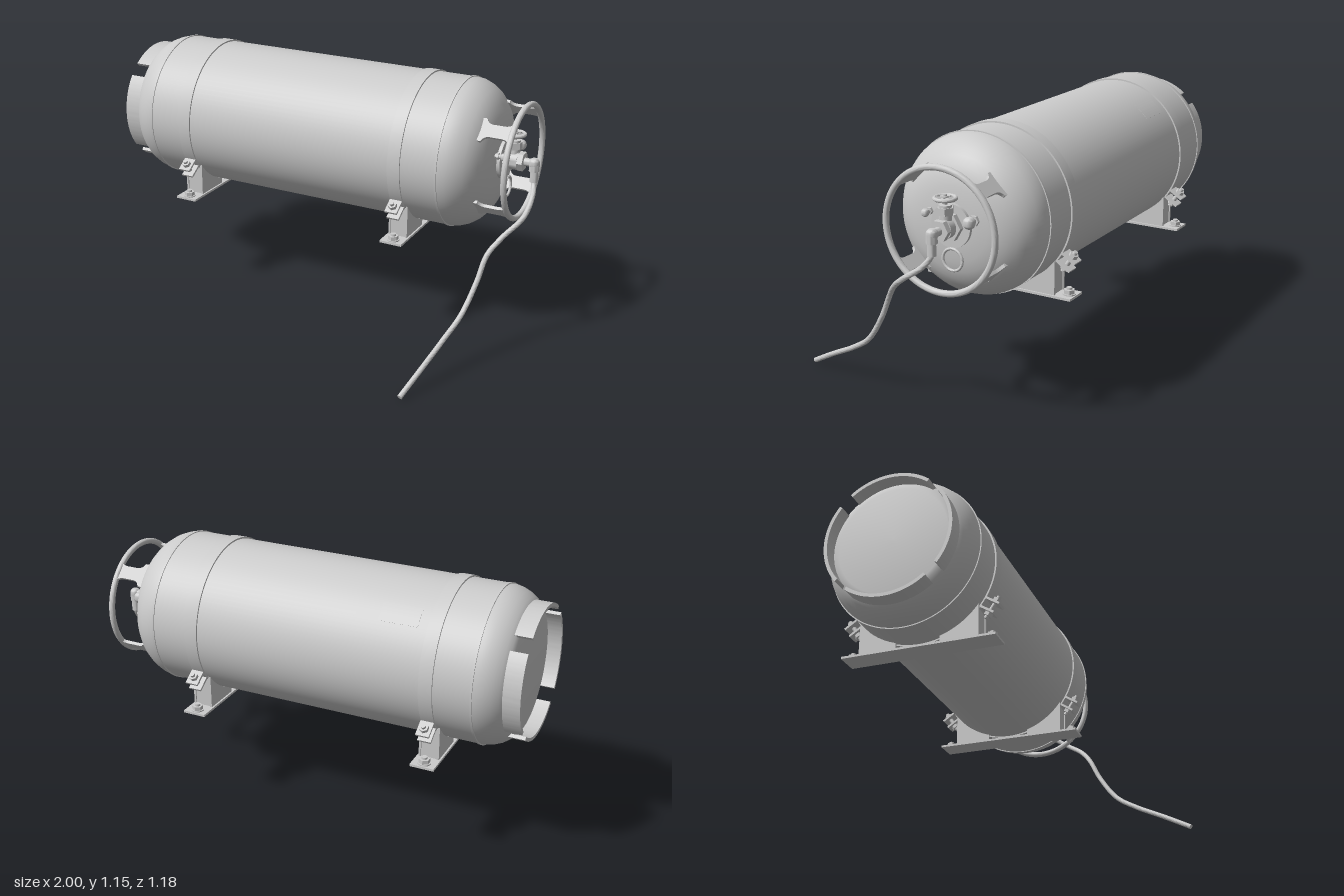
import * as THREE from 'three';
import { toCreasedNormals } from 'three/addons/utils/BufferGeometryUtils.js';

const grey = new THREE.MeshStandardMaterial({ color: 0xcccccc, side: THREE.DoubleSide });
const CY = 0.812, CZ = -0.235, R = 0.336;

function add(parent, name, geo, x = 0, y = 0, z = 0) {
  const m = new THREE.Mesh(toCreasedNormals(geo, 0.6), grey);
  m.name = name;
  m.position.set(x, y, z);
  parent.add(m);
  return m;
}

function group(parent, name, x = 0, y = 0, z = 0) {
  const g = new THREE.Group();
  g.name = name;
  g.position.set(x, y, z);
  parent.add(g);
  return g;
}

// Cylinder lying along x from x0 to x1
function axial(parent, name, r, x0, x1, sides = 32, y = 0, z = 0) {
  const g = new THREE.CylinderGeometry(r, r, x1 - x0, sides).rotateZ(-Math.PI / 2);
  return add(parent, name, g, (x0 + x1) / 2, y, z);
}

const upright = (parent, name, r, y0, y1, sides, x, z) =>
  add(parent, name, new THREE.CylinderGeometry(r, r, y1 - y0, sides), x, (y0 + y1) / 2, z);

// Surface of revolution about the x axis from [x, radius] pairs
function turned(parent, name, pts, sides = 96) {
  const g = new THREE.LatheGeometry(pts.map(([x, r]) => new THREE.Vector2(r, x)), sides);
  return add(parent, name, g.rotateZ(-Math.PI / 2));
}

// Raised band around the shell
const band = (parent, name, x, w, r) =>
  turned(parent, name, [[x - w / 2, R - 0.005], [x - w / 2, r], [x + w / 2, r], [x + w / 2, R - 0.005]]);

// Shape in the (z, y) plane given thickness along x, centred on x = 0
function platePart(parent, name, shape, t, x = 0) {
  const g = new THREE.ExtrudeGeometry(shape, { depth: t, bevelEnabled: false, curveSegments: 24 });
  return add(parent, name, g.translate(0, 0, -t / 2).rotateY(-Math.PI / 2), x);
}

function sector(r0, r1, a0, a1) {
  const s = new THREE.Shape();
  s.absarc(0, 0, r1, a0, a1, false);
  s.absarc(0, 0, r0, a1, a0, true);
  return s;
}

function buildShell(tank) {
  turned(tank, 'shell', [
    [-0.945, 0], [-0.945, 0.245], [-0.942, 0.262], [-0.932, 0.28], [-0.915, 0.297], [-0.89, 0.315],
    [-0.86, 0.328], [-0.835, 0.334], [-0.81, R], [0.644, R], [0.68, 0.332], [0.715, 0.318],
    [0.75, 0.294], [0.775, 0.267], [0.795, 0.235], [0.81, 0.2], [0.82, 0.155], [0.827, 0.1], [0.83, 0]]);
  for (const x of [-0.815, 0.645]) band(tank, 'weldSeam', x, 0.009, R + 0.004);

  // Foot ring split into four arcs
  for (let i = 0; i < 4; i++) {
    const a = i * Math.PI / 2;
    platePart(tank, 'footRingArc', sector(0.271, 0.286, a - 0.67, a + 0.67), 0.085, -0.9575);
  }

  // Thin rating plate wrapped on the upper back
  platePart(tank, 'ratingPlate', sector(R - 0.003, R + 0.001, 2.19, 2.44), 0.17, -0.47);
}

function buildGuard(tank) {
  add(tank, 'guardRing', new THREE.TorusGeometry(0.252, 0.0135, 16, 80).rotateY(Math.PI / 2), 0.92);
  // Four waisted posts on the diagonals
  const s = new THREE.Shape();
  s.moveTo(-0.055, 0.765);
  s.lineTo(0.055, 0.765);
  s.lineTo(0.055, 0.795);
  s.quadraticCurveTo(0.03, 0.805, 0.03, 0.83);
  s.lineTo(0.03, 0.88);
  s.quadraticCurveTo(0.03, 0.9, 0.045, 0.918);
  s.lineTo(-0.045, 0.918);
  s.quadraticCurveTo(-0.03, 0.9, -0.03, 0.88);
  s.lineTo(-0.03, 0.83);
  s.quadraticCurveTo(-0.03, 0.805, -0.055, 0.795);
  for (let i = 0; i < 4; i++) {
    const g = new THREE.ExtrudeGeometry(s, { depth: 0.014, bevelEnabled: false });
    g.translate(0, 0, -0.007).rotateZ(-Math.PI / 2).rotateX(-Math.PI / 2).translate(0, 0.25, 0);
    add(tank, 'guardPost', g).rotation.x = Math.PI / 4 + i * Math.PI / 2;
  }
}

function buildValve(tank) {
  const v = group(tank, 'valve');
  axial(v, 'collar', 0.09, 0.815, 0.842, 48);
  axial(v, 'largeHexNut', 0.06, 0.842, 0.865, 6);
  axial(v, 'valveBody', 0.042, 0.865, 0.9);
  axial(v, 'outletNut', 0.044, 0.9, 0.925, 6);
  axial(v, 'outletPipe', 0.018, 0.92, 0.965, 20);

  // Stem and handwheel
  upright(v, 'bonnet', 0.026, 0, 0.06, 24, 0.875, 0);
  upright(v, 'bonnetNut', 0.034, 0.055, 0.085, 6, 0.875, 0);
  upright(v, 'bonnetCap', 0.026, 0.085, 0.095, 24, 0.875, 0);
  upright(v, 'stem', 0.008, 0.09, 0.137, 16, 0.875, 0);
  upright(v, 'wheelHub', 0.014, 0.112, 0.13, 16, 0.875, 0);
  add(v, 'handwheel', new THREE.TorusGeometry(0.042, 0.008, 10, 32).rotateX(Math.PI / 2), 0.875, 0.12, 0);
  for (let i = 0; i < 3; i++) {
    add(v, 'wheelSpoke', new THREE.BoxGeometry(0.084, 0.008, 0.01), 0.875, 0.12, 0).rotation.y = i * Math.PI / 3;
  }

  // Elbow down to the hose
  add(v, 'elbowBall', new THREE.SphereGeometry(0.025, 24, 16), 0.968, 0, 0);
  upright(v, 'elbowCollar', 0.023, -0.035, 0.0, 24, 0.97, 0);
  upright(v, 'hoseFerrule', 0.018, -0.085, -0.03, 24, 0.972, 0);

  // Relief and bleed knobs either side
  for (const [y, z, r, x1] of [[0.043, 0.102, 0.017, 0.865], [0.035, -0.105, 0.025, 0.87]]) {
    axial(v, 'knobStem', r * 0.55, 0.815, x1, 16, y, z);
    axial(v, 'knobNut', r * 0.9, 0.83, 0.842, 6, y, z);
    add(v, 'knob', new THREE.SphereGeometry(r, 24, 16), x1, y, z);
  }
  add(v, 'hangingRing', new THREE.TorusGeometry(0.045, 0.006, 10, 40).rotateY(Math.PI / 2), 0.85, -0.135, -0.013);
}

function buildHose(root) {
  const path = [[0.972, 0.77, -0.236], [0.973, 0.728, -0.234], [0.983, 0.68, -0.2], [0.98, 0.61, -0.1],
    [0.922, 0.54, -0.01], [0.878, 0.47, 0.047], [0.858, 0.36, 0.105], [0.83, 0.238, 0.196],
    [0.797, 0.163, 0.306], [0.762, 0.087, 0.45], [0.725, 0.011, 0.585]];
  const curve = new THREE.CatmullRomCurve3(path.map(p => new THREE.Vector3(...p)));
  add(root, 'hose', new THREE.TubeGeometry(curve, 120, 0.0115, 14));
  const end = add(root, 'hoseEnd', new THREE.CircleGeometry(0.0115, 14), ...path[10]);
  end.lookAt(end.position.clone().add(curve.getTangent(1)));
}

// Half of a mount on the +z side; the other half is turned around
function buildMountSide(parent) {
  const a = Math.atan2(-0.2, 0.272), b = Math.atan2(-0.322, 0.1);
  const gusset = new THREE.Shape();
  gusset.moveTo(0.1, -0.35);
  gusset.lineTo(0.272, -0.35);
  gusset.absarc(0, 0, 0.337, a, b, true);
  for (const x of [-0.04, 0.04]) platePart(parent, 'saddleGusset', gusset, 0.009, x);
  add(parent, 'saddleWeb', new THREE.BoxGeometry(0.08, 0.14, 0.009), 0, -0.28, 0.262);

  // Anchor bolt through the base
  upright(parent, 'anchorWasher', 0.028, -0.35, -0.344, 24, 0, 0.318);
  upright(parent, 'anchorNut', 0.024, -0.344, -0.327, 6, 0, 0.318);
  upright(parent, 'anchorStud', 0.012, -0.355, -0.318, 16, 0, 0.318);

  // Strap lugs drawn together by a bolt
  const clamp = group(parent, 'strapClamp');
  clamp.rotation.x = 0.58;
  for (const s of [-1, 1]) {
    add(clamp, 'strapLug', new THREE.BoxGeometry(0.058, 0.01, 0.08), 0, s * 0.022, 0.37);
    upright(clamp, 'clampNut', 0.02, s * 0.035 - 0.008, s * 0.035 + 0.008, 6, 0, 0.378);
  }
  upright(clamp, 'clampBolt', 0.01, -0.055, 0.055, 16, 0, 0.378);
}

export function createModel() {
  const root = new THREE.Group();
  root.name = 'gasTank';
  const tank = group(root, 'tank', 0, CY, CZ);
  buildShell(tank);
  buildGuard(tank);
  buildValve(tank);
  buildHose(root);

  // Two strapped mounts
  for (const x of [-0.626, 0.452]) {
    const mount = group(tank, 'mount', x);
    band(mount, 'strap', 0, 0.058, R + 0.007);
    add(mount, 'basePlate', new THREE.BoxGeometry(0.105, 0.01, 0.7), 0, -0.354, 0);
    for (const turn of [0, Math.PI]) {
      const side = group(mount, 'mountSide');
      side.rotation.y = turn;
      buildMountSide(side);
    }
  }
  return root;
}
